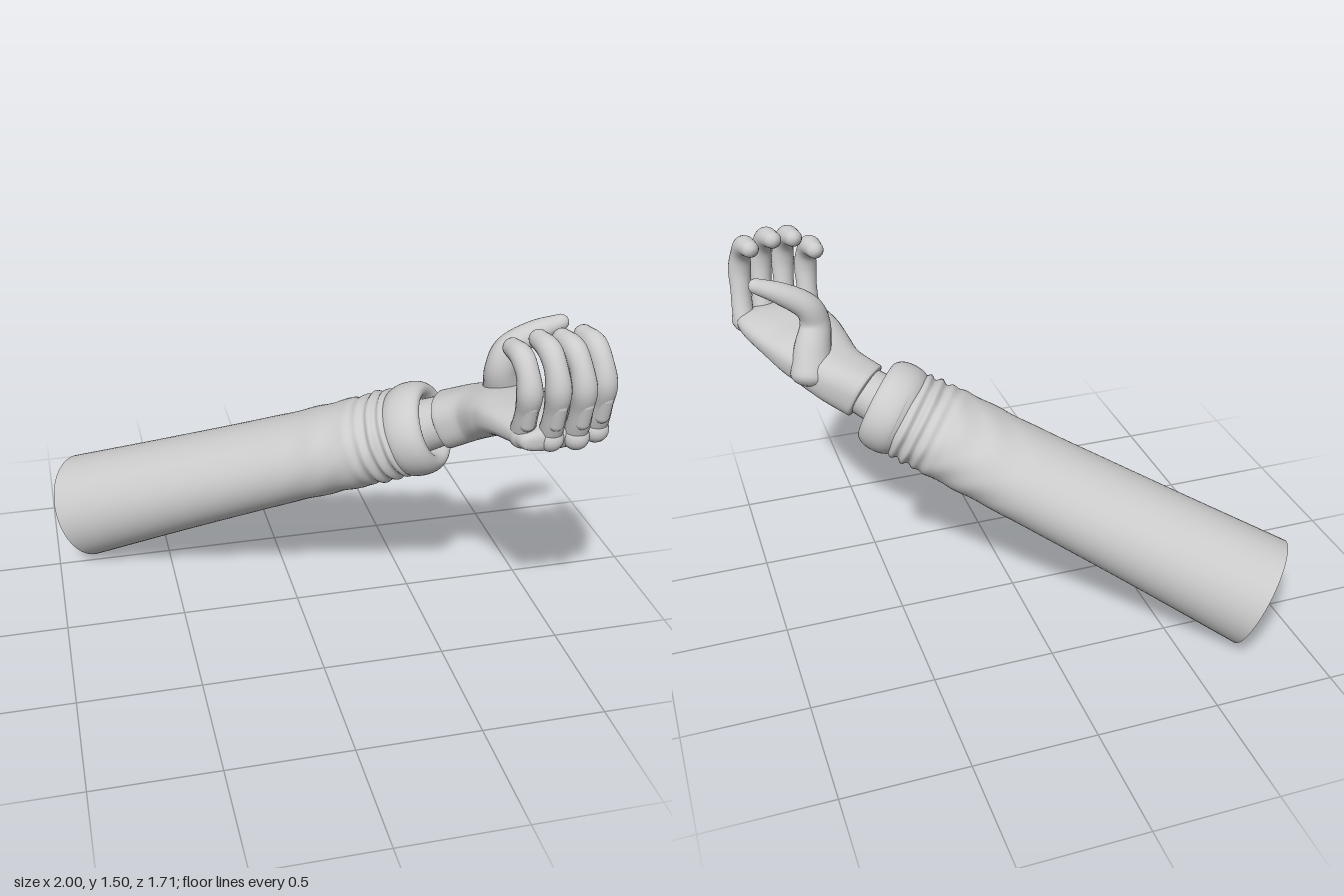
import * as THREE from 'three';

const material = new THREE.MeshStandardMaterial({ color: 0xcccccc, roughness: 0.8 });

// Smooth loft through sections [x, y, z, halfWidth, halfThickness, yaw of width axis in degrees]
function loft(sections, { steps = 8, sides = 28, power = 1, startRound = 0, endRound = 0, ripple = null } = {}) {
  const centres = new THREE.CatmullRomCurve3(sections.map(s => new THREE.Vector3(s[0], s[1], s[2])), false, 'catmullrom', 0.5);
  const sizes = new THREE.CatmullRomCurve3(sections.map(s => new THREE.Vector3(s[3], s[4], s[5] / 100)), false, 'catmullrom', 0.5);
  const count = (sections.length - 1) * steps;
  const rings = [];
  const capRings = (u, depth, sign) => {
    if (!depth) return [{ u, scale: 0, push: 0 }, { u, scale: 1, push: 0 }];
    return [0, 1, 2, 3, 4].map(k => {
      const a = (k / 5) * Math.PI / 2;
      return { u, scale: Math.sin(a), push: sign * depth * Math.cos(a) };
    });
  };
  rings.push(...capRings(0, startRound, -1));
  for (let i = 0; i <= count; i++) rings.push({ u: i / count, scale: 1, push: 0 });
  rings.push(...capRings(1, endRound, 1).reverse());

  const positions = [], index = [];
  const bend = (v) => Math.sign(v) * Math.pow(Math.abs(v), power);
  rings.forEach(({ u, scale, push }, r) => {
    const centre = centres.getPoint(u), size = sizes.getPoint(u), tangent = centres.getTangent(u);
    const yaw = THREE.MathUtils.degToRad(size.z * 100);
    const side = new THREE.Vector3(Math.cos(yaw), 0, Math.sin(yaw));
    side.addScaledVector(tangent, -side.dot(tangent)).normalize();
    const up = tangent.clone().cross(side);
    for (let j = 0; j < sides; j++) {
      const a = (j / sides) * Math.PI * 2;
      const k = scale * (ripple ? 1 + ripple(u, a) : 1);
      const p = centre.clone().addScaledVector(tangent, push)
        .addScaledVector(side, bend(Math.cos(a)) * size.x * k)
        .addScaledVector(up, bend(Math.sin(a)) * size.y * k);
      positions.push(p.x, p.y, p.z);
      if (r < rings.length - 1) {
        const A = r * sides + j, B = r * sides + (j + 1) % sides;
        index.push(A, B, A + sides, B, B + sides, A + sides);
      }
    }
  });
  const geometry = new THREE.BufferGeometry();
  geometry.setAttribute('position', new THREE.Float32BufferAttribute(positions, 3));
  geometry.setIndex(index);
  geometry.computeVertexNormals();
  return geometry;
}

export function createModel() {
  const group = new THREE.Group();
  const add = (name, geometry, parent = group) => {
    const mesh = new THREE.Mesh(geometry, material);
    mesh.name = name;
    parent.add(mesh);
    return mesh;
  };

  // Sleeve: tapering tube with cloth folds gathering towards the cuff
  const folds = (u, a) => {
    const gather = THREE.MathUtils.smoothstep(u, 0.72, 0.92);
    const loose = THREE.MathUtils.smoothstep(u, 0.4, 0.65);
    return gather * 0.045 * Math.sin(u * 100 + 1.3 * Math.sin(a + 0.6))
      + loose * 0.014 * Math.sin(u * 46 + 3 * Math.sin(a * 2)) * Math.cos(a * 2 + 1);
  };
  add('sleeve', loft([
    [-0.85, 0.213, -0.645, 0.24, 0.232, -58],
    [-0.43, 0.43, -0.38, 0.23, 0.203, -58],
    [0, 0.65, -0.11, 0.222, 0.18, -58],
    [0.25, 0.78, 0.05, 0.215, 0.178, -58],
    [0.42, 0.865, 0.15, 0.195, 0.172, -58],
  ], { steps: 30, sides: 56, ripple: folds }));

  // Rolled cuff: lathe around the forearm axis, slightly wider than tall
  const axis = new THREE.Vector3(0.775, 0.40, 0.485).normalize();
  const side = new THREE.Vector3(0.53, 0, -0.848).addScaledVector(axis, 0).normalize();
  const depth = side.clone().cross(axis).normalize();
  const roll = new THREE.SplineCurve([
    [0.13, -0.085], [0.175, -0.08], [0.199, -0.045], [0.205, 0], [0.197, 0.045],
    [0.172, 0.075], [0.14, 0.07], [0.118, 0.03], [0.115, -0.03],
  ].map(p => new THREE.Vector2(...p))).getPoints(40);
  const cuff = add('cuff', new THREE.LatheGeometry(roll, 56));
  cuff.material = material.clone();
  cuff.material.side = THREE.DoubleSide;
  cuff.applyMatrix4(new THREE.Matrix4().makeBasis(side, axis, depth)
    .multiply(new THREE.Matrix4().makeScale(1, 1, 0.92)).setPosition(0.455, 0.882, 0.172));

  // Wrist, emerging from the cuff
  add('wrist', loft([
    [0.42, 0.865, 0.15, 0.118, 0.112, -58],
    [0.53, 0.93, 0.22, 0.108, 0.1, -56],
    [0.63, 0.99, 0.29, 0.105, 0.09, -46],
  ]));

  // Gloved palm, from the hem at the wrist to the knuckle row
  add('palm', loft([
    [0.555, 0.945, 0.235, 0.119, 0.111, -56],
    [0.65, 1.005, 0.31, 0.132, 0.104, -41],
    [0.715, 1.06, 0.42, 0.162, 0.092, -17],
    [0.755, 1.09, 0.53, 0.177, 0.073, 0],
    [0.80, 1.107, 0.66, 0.182, 0.062, 2],
    [0.815, 1.108, 0.745, 0.172, 0.048, 2],
  ], { power: 0.8, sides: 40, startRound: 0.012, endRound: 0.03 }));

  // Curled fingers: [name, base x, tip x, z shift, tip drop]
  const curl = [ // z, y, radius
    [0.735, 1.10, 0.045], [0.765, 1.17, 0.044], [0.785, 1.24, 0.043], [0.803, 1.32, 0.048],
    [0.785, 1.395, 0.042], [0.737, 1.45, 0.043], [0.668, 1.463, 0.036],
  ];
  for (const [name, x0, x1, dz, drop] of [
    ['littleFinger', 0.675, 0.645, -0.045, 0.045], ['ringFinger', 0.765, 0.722, 0, 0],
    ['middleFinger', 0.86, 0.806, 0.008, 0], ['indexFinger', 0.952, 0.905, -0.03, 0.012],
  ]) {
    const finger = new THREE.Group();
    finger.name = name;
    group.add(finger);
    add(name + 'Segments', loft(curl.map(([z, y, r], i) => {
      const k = i / (curl.length - 1);
      return [x0 + (x1 - x0) * k * k, y - drop * k, z + dz, r, r, 0];
    }), { steps: 5, sides: 20, startRound: 0.04, endRound: 0.036 }), finger);

    // Knuckle and raised pad on the back of the first segment
    const knuckle = add(name + 'Knuckle', new THREE.SphereGeometry(0.05, 20, 14), finger);
    knuckle.position.set(x0, 1.107, 0.753 + dz);
    const pad = add(name + 'Pad', new THREE.CapsuleGeometry(0.03, 0.075, 6, 16), finger);
    pad.position.set(x0 - 0.003, 1.225 - drop * 0.3, 0.803 + dz);
    pad.rotation.x = 0.22;
  }

  // Thumb: broad base rising from the palm, then bending across it
  add('thumb', loft([
    [0.755, 1.02, 0.30, 0.085, 0.085, 90],
    [0.735, 1.12, 0.335, 0.072, 0.075, 90],
    [0.712, 1.21, 0.365, 0.058, 0.062, 90],
    [0.738, 1.29, 0.364, 0.055, 0.055, 90],
    [0.83, 1.353, 0.375, 0.047, 0.045, 90],
    [0.925, 1.393, 0.393, 0.032, 0.031, 90],
  ], { steps: 6, sides: 24, startRound: 0.05, endRound: 0.032 }));

  return group;
}
